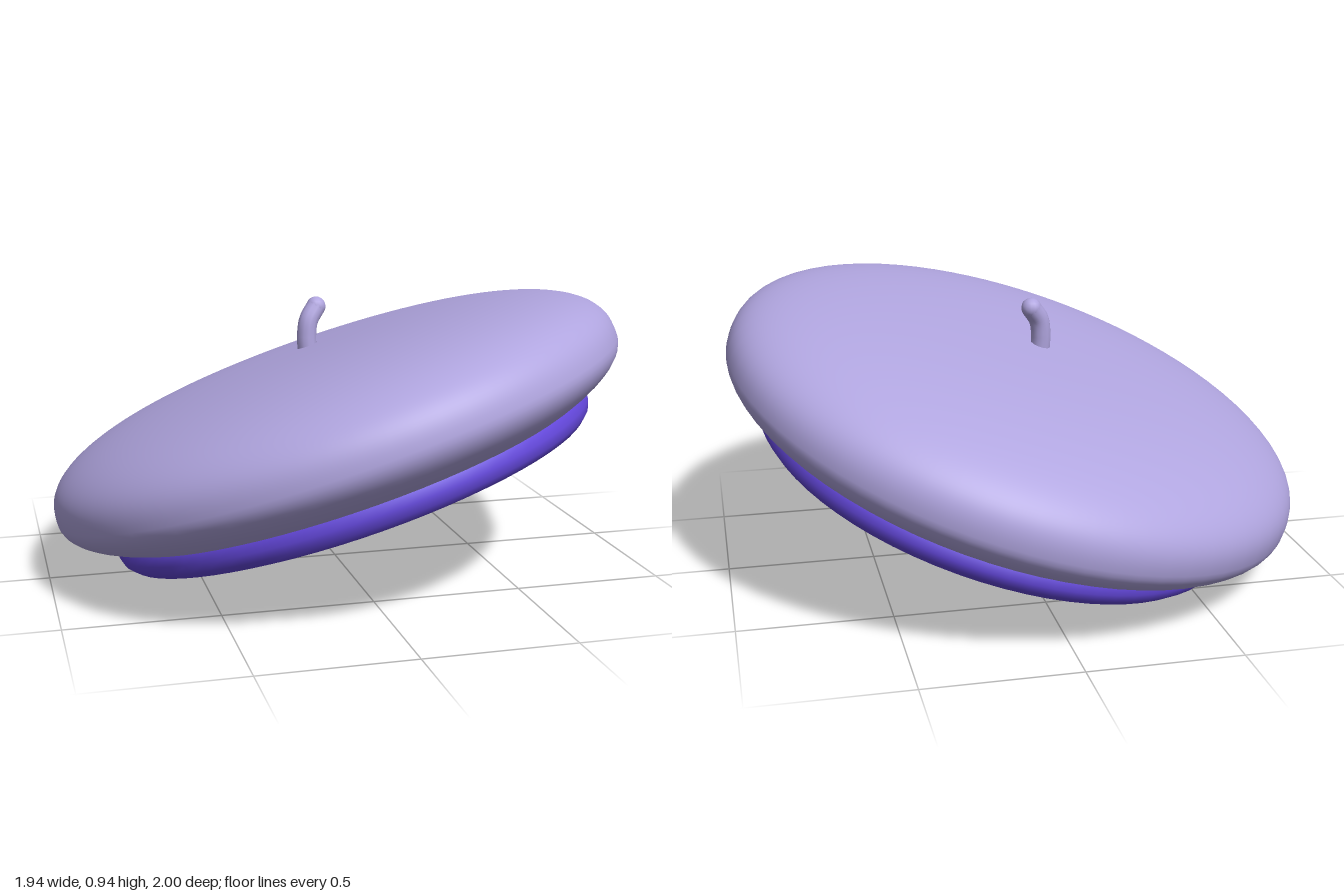
import * as THREE from 'three';

export function createModel() {
  const model = new THREE.Group();
  model.name = 'beret';
  const felt = new THREE.MeshStandardMaterial({ color: 0xb0a5df });
  felt.name = 'lavender felt';
  const trim = new THREE.MeshStandardMaterial({ color: 0x6246d8 });
  trim.name = 'violet trim';

  const add = (parent, name, geometry, material) => {
    const mesh = new THREE.Mesh(geometry, material);
    mesh.name = name;
    parent.add(mesh);
    return mesh;
  };

  // Tilted hat: its left side and front are raised
  const hat = new THREE.Group();
  hat.name = 'tiltedHat';
  hat.position.y = 0.484;
  hat.rotation.set(-0.15, 0, 0.3);
  model.add(hat);

  // Puffy crown: flattened top with full shoulders, rounded underside ending at the band
  const radius = 1.01, topHeight = 0.285, underHeight = 0.26, bandRadius = 0.795;
  const fullness = 2 / 2.6;
  const start = -Math.acos(bandRadius / radius);
  const profile = [];
  const underSteps = 10, topSteps = 40;
  for (let i = 0; i < underSteps; i++) {
    const a = start * (1 - i / underSteps);
    profile.push(new THREE.Vector2(radius * Math.cos(a), underHeight * Math.sin(a)));
  }
  for (let i = 0; i <= topSteps; i++) {
    const a = (Math.PI / 2) * (i / topSteps);
    const c = Math.max(0, Math.cos(a));
    profile.push(new THREE.Vector2(
      i === topSteps ? 0 : radius * Math.pow(c, fullness),
      topHeight * Math.pow(Math.sin(a), fullness)));
  }
  add(hat, 'crown', new THREE.LatheGeometry(profile, 72), felt);

  // Flat underside closing the opening
  const underside = add(hat, 'underside', new THREE.CircleGeometry(bandRadius, 72), felt);
  underside.rotation.x = Math.PI / 2;
  underside.position.y = -0.165;

  // Rolled head band
  const band = add(hat, 'headBand', new THREE.TorusGeometry(bandRadius, 0.061, 12, 72), trim);
  band.rotation.x = Math.PI / 2;
  band.position.y = -0.172;

  // Bent stem with a rounded tip
  const stemRadius = 0.034;
  const tip = new THREE.Vector3(-0.05, 0.884, -0.067);
  const path = new THREE.CatmullRomCurve3([
    new THREE.Vector3(-0.084, 0.71, -0.045),
    new THREE.Vector3(-0.088, 0.78, -0.048),
    new THREE.Vector3(-0.08, 0.838, -0.053),
    tip,
  ]);
  add(model, 'stem', new THREE.TubeGeometry(path, 18, stemRadius, 12), felt);
  add(model, 'stemTip', new THREE.SphereGeometry(stemRadius, 14, 10), felt).position.copy(tip);

  return model;
}
